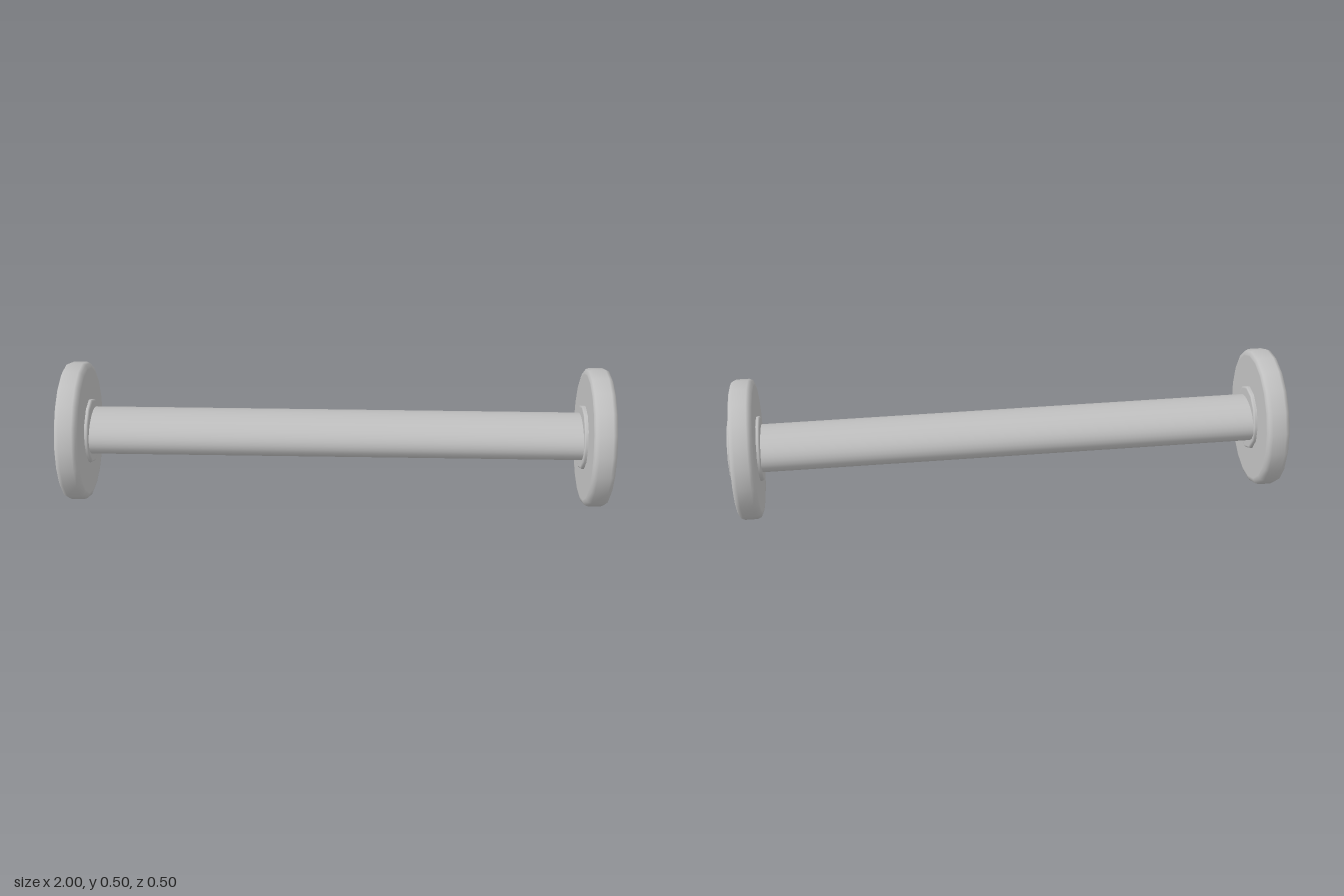
import * as THREE from 'three';

const CENTRE_Y = 0.253;

export function createModel() {
  const group = new THREE.Group();
  group.name = 'axleWithWheels';
  const grey = new THREE.MeshStandardMaterial({ color: 0xc0c0c0 });
  grey.name = 'plain grey';

  // Solid of revolution about the x axis; profile is [radius, x] from low x to high x
  function turned(name, profile, sides, phase, x) {
    const points = profile.map(([r, h]) => new THREE.Vector2(r, h));
    const mesh = new THREE.Mesh(new THREE.LatheGeometry(points, sides, phase), grey);
    mesh.name = name;
    mesh.rotation.z = -Math.PI / 2;
    mesh.position.set(x, CENTRE_Y, 0);
    group.add(mesh);
  }

  // Symmetric disc profile with softened rims
  function discProfile(radius, half, bevel) {
    const rim = [[radius - bevel, half], [radius - bevel * 0.3, half - bevel * 0.3], [radius, half - bevel]];
    const face = [[0, half], [radius - bevel * 1.3, half]];
    const top = [...face, ...rim];
    return [...top.map(([r, h]) => [r, -h]), ...top.reverse()];
  }

  for (const side of [1, -1]) {
    const label = side > 0 ? 'left' : 'right';
    // Round end wheel
    turned(label + 'Wheel', discProfile(0.252, 0.041, 0.018), 20, 0, side * 0.94);
    // Twelve-sided hub passing through the wheel
    turned(label + 'Hub', discProfile(0.118, 0.057, 0.006), 12, Math.PI / 12, side * 0.943);
  }

  // Oval bar joining the hubs
  const barGeometry = new THREE.CylinderGeometry(1, 1, 1.8, 32);
  barGeometry.rotateZ(-Math.PI / 2);
  barGeometry.scale(1, 0.073, 0.109);
  const bar = new THREE.Mesh(barGeometry, grey);
  bar.name = 'bar';
  bar.position.set(0, CENTRE_Y + 0.002, -0.002);
  group.add(bar);

  return group;
}
